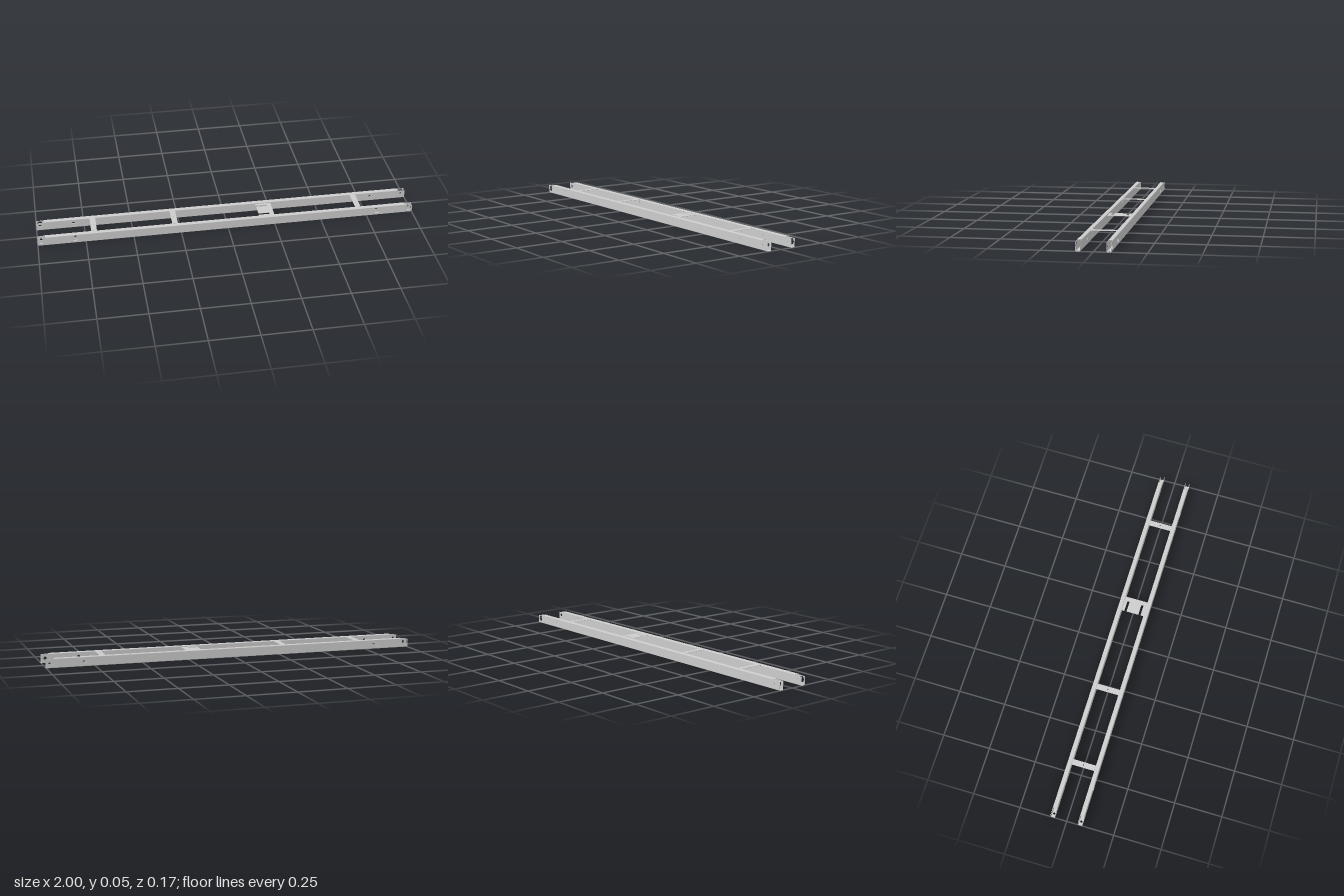
import * as THREE from 'three';

const H = 0.049, W = 0.023, T = 0.0015, R = 0.003; // rail height, width, wall, corner radius
const RAIL_Z = 0.0725, INNER = RAIL_Z - W / 2, TOP_END = 0.96, AXIS_Y = 0.027;

export function createModel() {
  const model = new THREE.Group();
  const mat = new THREE.MeshStandardMaterial({ color: 0xcccccc, side: THREE.DoubleSide });

  const add = (parent, name, geo, x = 0, y = 0, z = 0) => {
    const mesh = new THREE.Mesh(geo, mat);
    mesh.name = name;
    mesh.position.set(x, y, z);
    parent.add(mesh);
    return mesh;
  };

  // Sheet cut from an outline, with round holes [x, y, radius]
  const sheet = (points, holes = []) => {
    const shape = new THREE.Shape(points.map(p => new THREE.Vector2(...p)));
    for (const [x, y, r] of holes) {
      const hole = new THREE.Path();
      hole.absarc(x, y, r, 0, Math.PI * 2, true);
      shape.holes.push(hole);
    }
    return new THREE.ExtrudeGeometry(shape, { depth: T, bevelEnabled: false, curveSegments: 16 });
  };
  const rect = (x, y) => [[-x, -y], [x, -y], [x, y], [-x, y]];
  // Lying sheet: its top surface is at local y = 0
  const flat = (points, holes) => sheet(points, holes).rotateX(Math.PI / 2);

  // Bent corner of the tube, running along x
  const corner = (start, length) => {
    const s = new THREE.Shape();
    s.absarc(0, 0, R, start, start + Math.PI / 2, false);
    s.absarc(0, 0, R - T, start + Math.PI / 2, start, true);
    return new THREE.ExtrudeGeometry(s, { depth: length, bevelEnabled: false, curveSegments: 4 })
      .translate(0, 0, -length / 2).rotateY(Math.PI / 2);
  };

  // Hollow rail: +z is its outer side
  const makeRail = name => {
    const rail = new THREE.Group();
    rail.name = name;
    const side = [[-1, R], [1, R], [1, 0.044], [TOP_END, H - R], [-TOP_END, H - R], [-1, 0.044]];
    const bores = (end, inner) => [-1, 1].flatMap(s => [[s * 0.98, AXIS_Y, end], [s * 0.805, AXIS_Y, inner]]);
    add(rail, 'outerWall', sheet(side, bores(0.015, 0.016)), 0, 0, W / 2 - T);
    add(rail, 'innerWall', sheet(side, bores(0.008, 0.007)), 0, 0, -W / 2);
    // The top wall stops short of both ends, leaving them open
    add(rail, 'topWall', flat(rect(TOP_END, W / 2 - R)), 0, H, 0);
    add(rail, 'bottomWall', flat(rect(1, W / 2 - R), [[-0.98, 0, 0.006], [0.98, 0, 0.006]]), 0, T, 0);
    const c = W / 2 - R;
    add(rail, 'topInnerCorner', corner(0, TOP_END * 2), 0, H - R, -c);
    add(rail, 'topOuterCorner', corner(Math.PI / 2, TOP_END * 2), 0, H - R, c);
    add(rail, 'bottomOuterCorner', corner(Math.PI, 2), 0, R, c);
    add(rail, 'bottomInnerCorner', corner(Math.PI * 1.5, 2), 0, R, -c);
    model.add(rail);
    return rail;
  };
  makeRail('frontRail').position.z = RAIL_Z;
  const back = makeRail('backRail');
  back.position.z = -RAIL_Z;
  back.rotation.y = Math.PI;

  // Cross straps with folded end tabs: [x, tab depth]
  for (const [x, drop] of [[-0.705, 0.008], [-0.28, 0.022], [0.705, 0.008]]) {
    const strap = new THREE.Group();
    strap.name = 'crossStrap';
    strap.position.x = x;
    add(strap, 'strap', flat(rect(0.015, INNER), [[0, 0, 0.003]]), 0, H, 0);
    for (const s of [-1, 1]) {
      add(strap, 'strapTab', new THREE.BoxGeometry(0.03, drop, T), 0, H - drop / 2, s * (INNER - T / 2));
    }
    model.add(strap);
  }

  // Mounting plate with two slots open towards -x
  const x0 = 0.17, x1 = 0.252, slotEnd = 0.228, a = 0.033, b = 0.045;
  add(model, 'mountingPlate', flat([
    [x0, -INNER], [x1, -INNER], [x1, INNER], [x0, INNER],
    [x0, b], [slotEnd, b], [slotEnd, a], [x0, a],
    [x0, -a], [slotEnd, -a], [slotEnd, -b], [x0, -b],
  ]), 0, 0.043, 0);

  return model;
}
